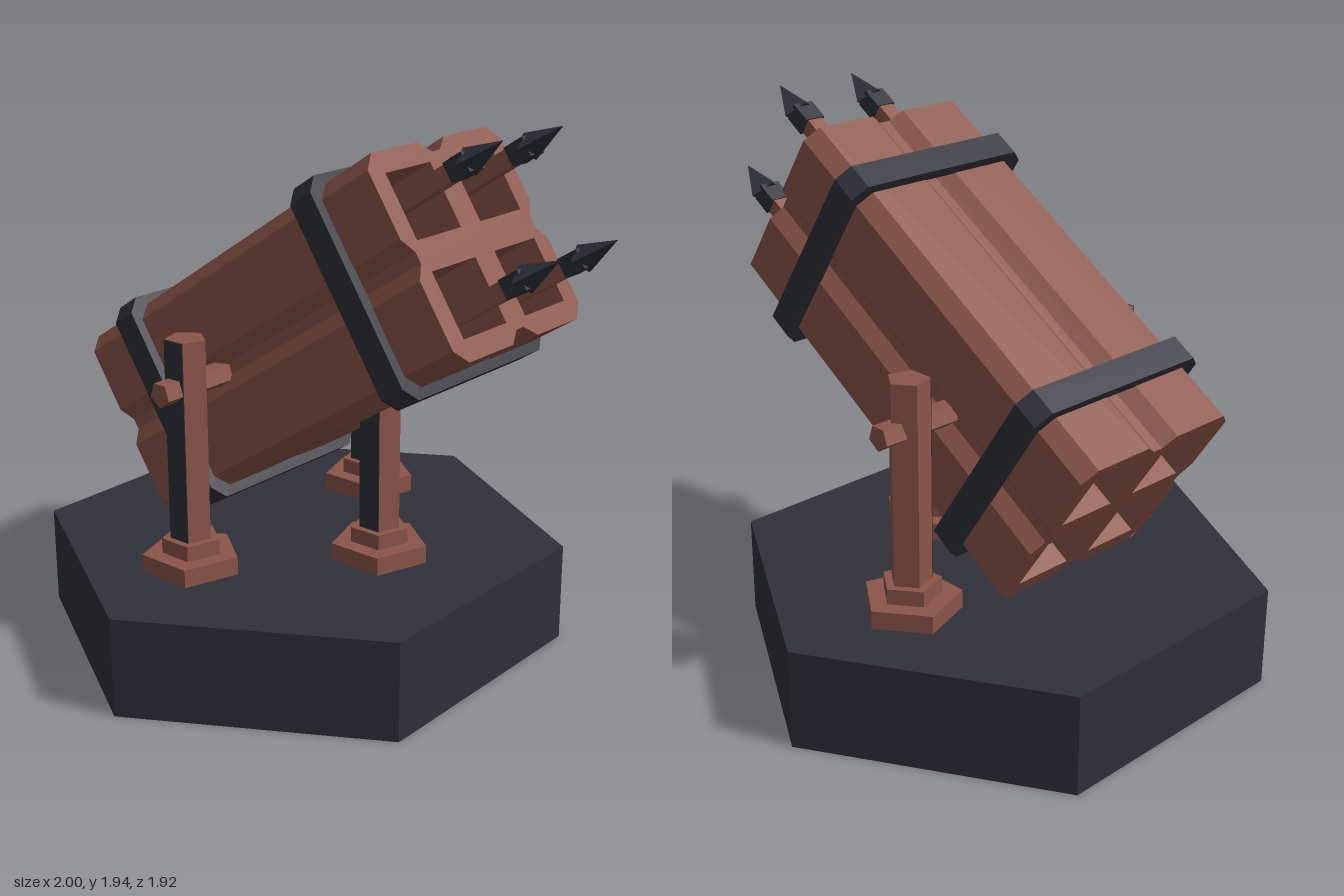
import * as THREE from 'three';

const wood = new THREE.MeshStandardMaterial({ color: 0x8c5549 });
wood.name = 'reddish wood';
const iron = new THREE.MeshStandardMaterial({ color: 0x2f3039 });
iron.name = 'dark iron';

function add(parent, name, geometry, material, x = 0, y = 0, z = 0) {
  const mesh = new THREE.Mesh(geometry, material);
  mesh.name = name;
  mesh.position.set(x, y, z);
  parent.add(mesh);
  return mesh;
}

// Faceted prism or cone with flat normals
function prism(rTop, rBottom, height, sides) {
  const g = new THREE.CylinderGeometry(rTop, rBottom, height, sides).toNonIndexed();
  g.computeVertexNormals();
  return g;
}

// Extrusion centred on the origin and running along x
function extrudeAlongX(shape, length) {
  const g = new THREE.ExtrudeGeometry(shape, { depth: length, bevelEnabled: false });
  g.translate(0, 0, -length / 2);
  return g.rotateY(Math.PI / 2);
}

const toPoints = (list) => list.map(([x, y]) => new THREE.Vector2(x, y));

// Square outline with cut corners
function cutSquare(h, c) {
  return toPoints([[h, -h + c], [h, h - c], [h - c, h], [-h + c, h],
    [-h, h - c], [-h, -h + c], [-h + c, -h], [h - c, -h]]);
}

// Four joined square barrels: cut corners and a groove along each side
function barrelShape() {
  const quarter = [[0.315, -0.02], [0.315, 0.02], [0.355, 0.07], [0.355, 0.305], [0.305, 0.355], [0.07, 0.355]];
  const outline = [];
  for (let i = 0; i < 4; i++) {
    const c = Math.round(Math.cos(i * Math.PI / 2)), s = Math.round(Math.sin(i * Math.PI / 2));
    for (const [x, y] of quarter) outline.push([x * c - y * s, x * s + y * c]);
  }
  const shape = new THREE.Shape(toPoints(outline));
  for (const x of [-0.168, 0.168]) for (const y of [-0.168, 0.168]) {
    const h = 0.115;
    shape.holes.push(new THREE.Path(toPoints([[x - h, y - h], [x - h, y + h], [x + h, y + h], [x + h, y - h]])));
  }
  return shape;
}

// Arrow pointing along +x, tip at x = 1.13
function makeArrow() {
  const arrow = new THREE.Group();
  arrow.name = 'arrow';
  add(arrow, 'arrowShaft', new THREE.BoxGeometry(1.62, 0.06, 0.06), wood, 0.12);
  add(arrow, 'arrowNeck', new THREE.BoxGeometry(0.08, 0.068, 0.08), iron, 0.96);
  const head = prism(0, 1, 0.145, 4).rotateZ(-Math.PI / 2);
  head.scale(1, 0.048, 0.075);
  head.computeVertexNormals();
  add(arrow, 'arrowHead', head, iron, 1.0575);
  return arrow;
}

// Five-sided post on a stepped foot, with an iron strip on its front face
function makePost(name, x, z, top) {
  const post = new THREE.Group();
  post.name = name;
  post.position.set(x, 0, z);
  const tier = (part, r, y0, y1) =>
    add(post, part, prism(r, r, y1 - y0, 5).rotateY(Math.PI), wood, 0, (y0 + y1) / 2, 0);
  tier('footPlate', 0.175, 0.36, 0.425);
  tier('footStep', 0.105, 0.425, 0.48);
  tier('postShaft', 0.073, 0.48, top);
  add(post, 'postStrip', new THREE.BoxGeometry(0.085, top - 0.48, 0.006), iron, 0, (top + 0.48) / 2, 0.059);
  return post;
}

export function createModel() {
  const model = new THREE.Group();
  model.name = 'arrowLauncher';

  // Hexagonal plinth
  add(model, 'base', prism(0.96, 0.96, 0.36, 6), iron, -0.166, 0.18, 0);

  // Tilted barrel block
  const launcher = new THREE.Group();
  launcher.name = 'launcher';
  launcher.position.set(-0.055, 1.155, 0);
  launcher.rotation.z = THREE.MathUtils.degToRad(33.2);
  model.add(launcher);
  add(launcher, 'barrels', extrudeAlongX(barrelShape(), 1.535), wood);

  // Iron bands
  const bandShape = new THREE.Shape(cutSquare(0.39, 0.05));
  bandShape.holes.push(new THREE.Path(cutSquare(0.352, 0.045).reverse()));
  for (const [name, x] of [['rearBand', -0.5], ['frontBand', 0.5]]) {
    add(launcher, name, extrudeAlongX(bandShape, 0.1), iron, x);
  }

  // One arrow in each barrel
  for (const y of [-0.2, 0.195]) for (const z of [-0.165, 0.165]) {
    const arrow = makeArrow();
    arrow.position.set(0, y, z);
    launcher.add(arrow);
  }

  // Supports: one under the front, one each side with a pivot peg
  model.add(makePost('frontPost', 0.2, 0, 1.0));
  for (const [side, s] of [['left', 1], ['right', -1]]) {
    model.add(makePost(side + 'Post', -0.243, s * 0.495, 1.2));
    add(model, side + 'Pivot', prism(0.045, 0.045, 0.32, 5).rotateX(Math.PI / 2), wood, -0.243, 1.03, s * 0.465);
  }
  return model;
}
